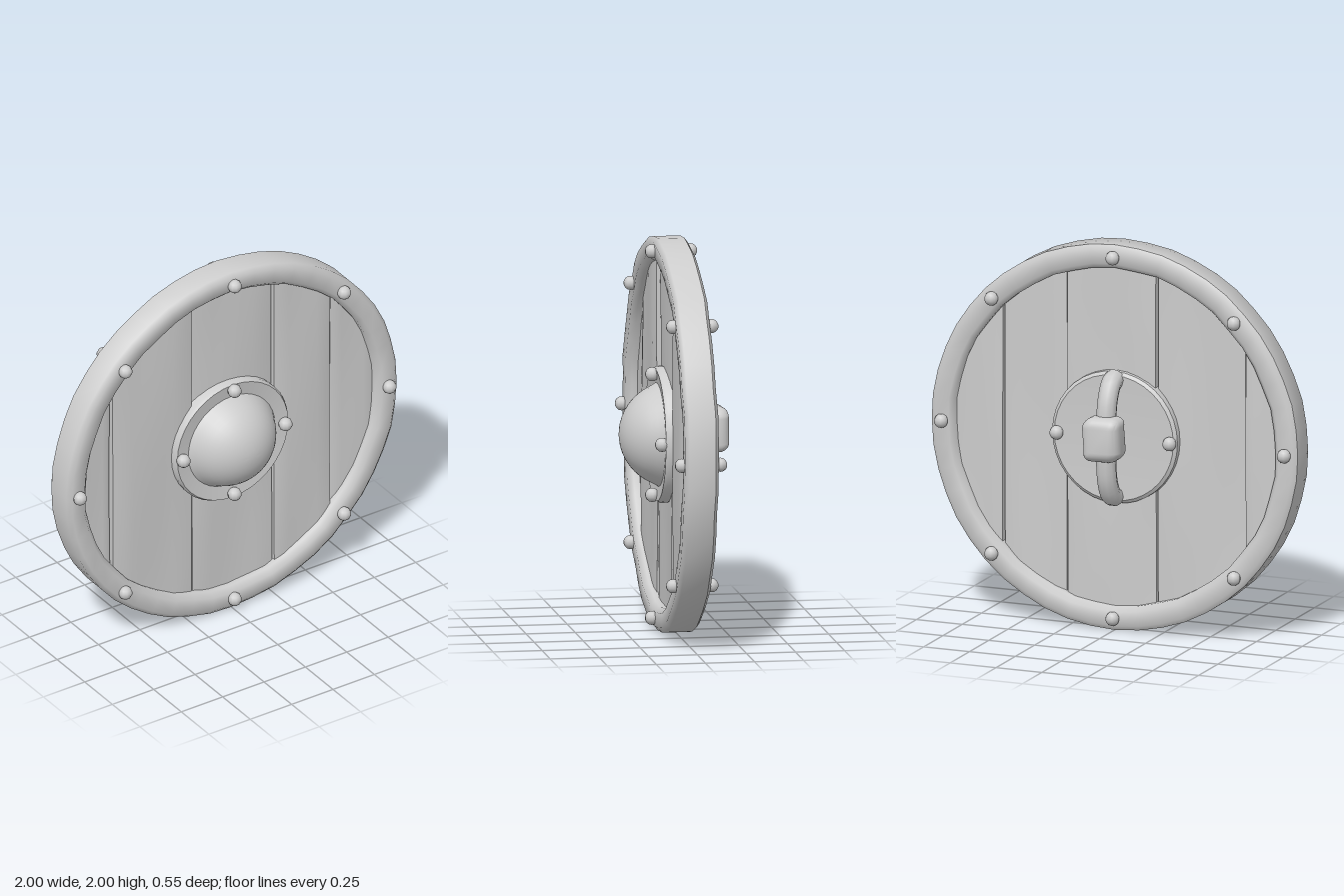
import * as THREE from 'three';
import { toCreasedNormals } from 'three/addons/utils/BufferGeometryUtils.js';
import { RoundedBoxGeometry } from 'three/addons/geometries/RoundedBoxGeometry.js';

export function createModel() {
  const shield = new THREE.Group();
  shield.name = 'roundShield';
  const grey = new THREE.MeshStandardMaterial({ color: 0xcccccc });
  grey.name = 'pale grey';

  const add = (name, geometry, x = 0, y = 1, z = 0) => {
    const mesh = new THREE.Mesh(geometry, grey);
    mesh.name = name;
    mesh.position.set(x, y, z);
    shield.add(mesh);
    return mesh;
  };

  // Moves every vertex by a rule
  const warp = (geometry, rule) => {
    const p = geometry.attributes.position;
    const v = new THREE.Vector3();
    for (let i = 0; i < p.count; i++) {
      rule(v.fromBufferAttribute(p, i));
      p.setXYZ(i, v.x, v.y, v.z);
    }
    return geometry;
  };

  // Profile of [radius, z] turned around the z axis
  const turned = (profile, segments) =>
    new THREE.LatheGeometry(profile.map(([r, z]) => new THREE.Vector2(r, z)), segments).rotateX(Math.PI / 2);

  // Hammered rim
  const rim = turned([
    [0.875, -0.05], [0.9, -0.072], [0.975, -0.072], [0.998, -0.055],
    [0.998, 0.08], [0.975, 0.1], [0.9, 0.098], [0.875, 0.07], [0.875, -0.05],
  ], 48);
  warp(rim, (v) => {
    const a = Math.atan2(v.y, v.x);
    const r = Math.hypot(v.x, v.y);
    const dent = Math.sin(a * 11) * Math.sin(a * 7 + 1);
    const s = 1 + (r < 0.95 ? 0.007 : 0.002) * dent;
    v.x *= s;
    v.y *= s;
    v.z += 0.004 * Math.sin(a * 13 + 2) * Math.sin(a * 5);
  });
  add('rim', toCreasedNormals(rim, 0.9));

  // Planks: boxes whose height follows the circle, with a slightly worn surface
  const seams = [-0.89, -0.7, -0.215, 0.275, 0.62, 0.89];
  const offsets = [-0.008, 0.006, -0.006, 0.006, -0.006];
  for (let i = 0; i < 5; i++) {
    const width = seams[i + 1] - seams[i] - 0.008;
    const middle = (seams[i] + seams[i + 1]) / 2;
    const plank = new THREE.BoxGeometry(width, 1, 0.075, 8, 14, 1);
    warp(plank, (v) => {
      const edge = Math.abs(v.x) > width * 0.49;
      const x = v.x + middle;
      v.y *= 2 * Math.sqrt(Math.max(0.9 * 0.9 - x * x, 0));
      const wear = 0.007 * Math.sin(x * 11 + i * 2) * Math.cos(v.y * 3 + i);
      v.z += offsets[i] + wear - (edge ? Math.sign(v.z) * 0.008 : 0);
    });
    add('plank', toCreasedNormals(plank, 0.9), middle, 1, 0.012);
  }

  // Domed boss with a flange in front and a plate behind
  const profile = [[0, -0.062], [0.2, -0.062], [0.325, -0.068], [0.342, -0.055], [0.345, 0.075], [0.335, 0.092], [0.262, 0.082]];
  for (let i = 1; i <= 10; i++) {
    const a = 0.3 + (i / 10) * (Math.PI / 2 - 0.3);
    profile.push([i === 10 ? 0 : 0.268 * Math.cos(a), 0.275 * Math.sin(a)]);
  }
  add('boss', toCreasedNormals(turned(profile, 36), 0.6));

  // Studs on both faces
  const studGeometry = new THREE.SphereGeometry(0.036, 10, 7);
  const addStud = (radius, angle, z) =>
    add('stud', studGeometry, radius * Math.cos(angle), 1 + radius * Math.sin(angle), z);
  for (let i = 0; i < 8; i++) {
    addStud(0.935, (i * Math.PI) / 4, 0.11);
    addStud(0.935, (i * Math.PI) / 4, -0.086);
  }
  for (let i = 0; i < 4; i++) addStud(0.308, (i * Math.PI) / 2, 0.108);
  for (let i = 0; i < 2; i++) addStud(0.308, i * Math.PI, -0.08);

  // Curved handle bar on the back
  const path = new THREE.CatmullRomCurve3([
    [0.305, -0.05], [0.29, -0.1], [0.22, -0.145], [0.12, -0.165],
    [-0.12, -0.165], [-0.22, -0.145], [-0.29, -0.1], [-0.305, -0.05],
  ].map(([y, z]) => new THREE.Vector3(0, y, z)));
  add('handleBar', new THREE.TubeGeometry(path, 28, 0.052, 10));

  // Wrapped grip, slightly lumpy
  const grip = new RoundedBoxGeometry(0.2, 0.23, 0.155, 4, 0.055);
  warp(grip, (v) => {
    v.x += 0.006 * Math.sin(v.y * 40);
    v.z += 0.004 * Math.sin(v.y * 30 + v.x * 20);
  });
  add('grip', toCreasedNormals(grip, 0.9), 0, 1.025, -0.197);

  return shield;
}
